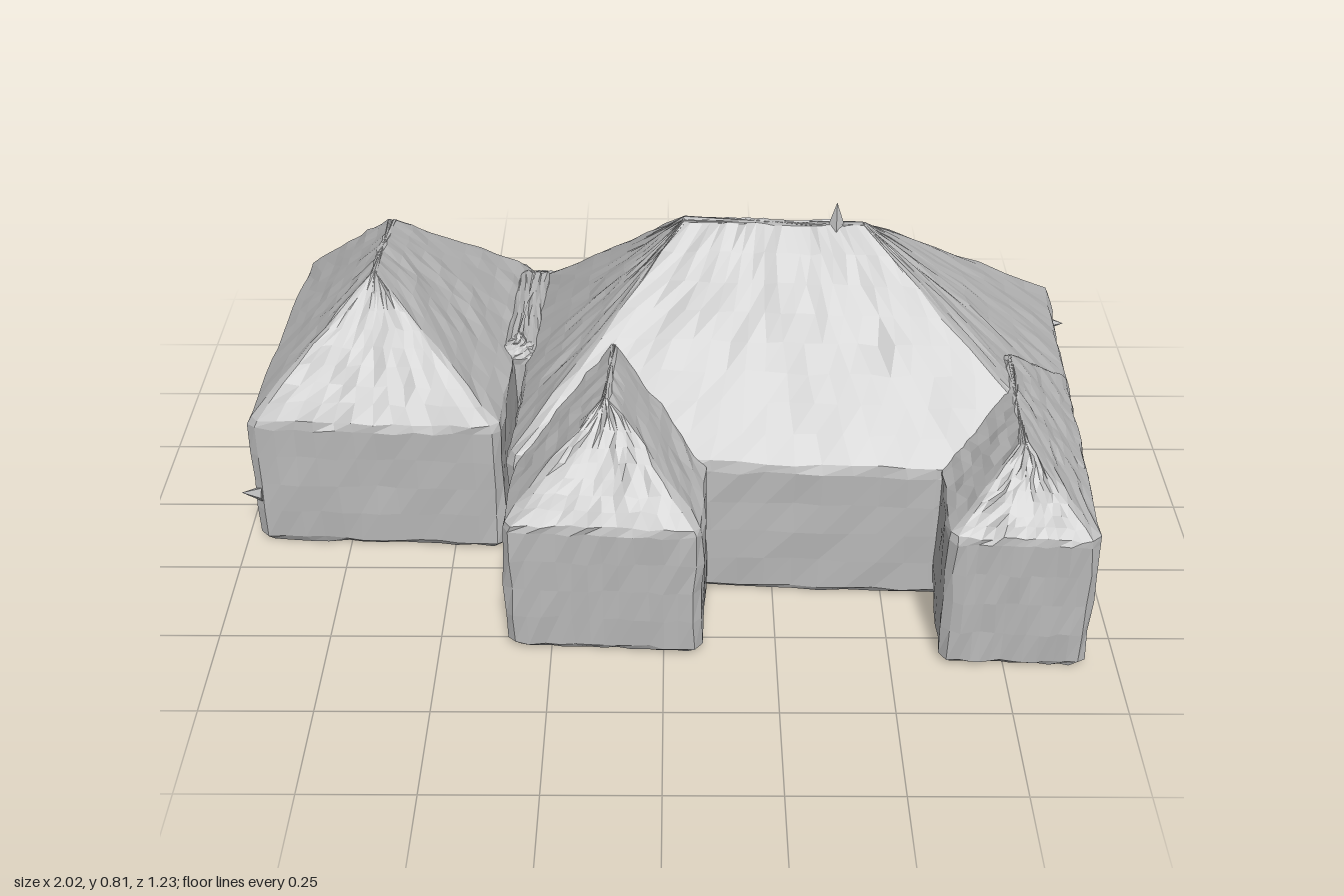
import * as THREE from 'three';

const stone = new THREE.MeshStandardMaterial({ color: 0xb8b8b8, flatShading: true });
stone.name = 'plain grey';

// Repeatable surface roughness taken from the position
function hash(x, y, z, k) {
  const s = Math.sin(x * 127.1 + y * 311.7 + z * 74.7 + k * 53.3) * 43758.5453;
  return (s - Math.floor(s) - 0.5) * 2;
}

// Outline of a rectangle with cut corners, counter-clockwise from above
function ringPoints({ x0, x1, z0, z1, y, r }, n) {
  const sides = [
    [x0 + r, z1, x1 - r, z1], [x1, z1 - r, x1, z0 + r],
    [x1 - r, z0, x0 + r, z0], [x0, z0 + r, x0, z1 - r],
  ];
  const points = [];
  for (const [ax, az, bx, bz] of sides) {
    for (let i = 0; i <= n; i++) {
      const t = i / n;
      points.push([ax + (bx - ax) * t, y, az + (bz - az) * t]);
    }
  }
  return points;
}

// Block with straight walls and a hipped roof: foot = wall rectangle, ridge = roof top
function hippedBlock(name, foot, eave, ridge, top, n = 12) {
  const [x0, x1, z0, z1] = foot;
  const [u0, u1, v0, v1] = ridge;
  const inset = (d, y) => ({ x0: x0 + d, x1: x1 - d, z0: z0 + d, z1: z1 - d, y, r: 0.018 });
  const rings = [inset(0.015, 0.014), inset(0.002, 0.03)];
  for (let i = 1; i <= 4; i++) rings.push(inset(0, 0.03 + (eave - 0.045) * i / 4));
  const roofSteps = 8;
  for (let i = 0; i <= roofSteps; i++) {
    const t = 0.02 + 0.98 * i / roofSteps;
    const mix = (a, b) => a + (b - a) * t;
    rings.push({
      x0: mix(x0, u0), x1: mix(x1, u1), z0: mix(z0, v0), z1: mix(z1, v1),
      y: mix(eave, top), r: 0.018 * (1 - t),
    });
  }

  const pos = [], index = [];
  const count = 4 * (n + 1);
  const rough = 0.004;
  rings.forEach((ring, j) => {
    for (const [x, y, z] of ringPoints(ring, n)) {
      pos.push(
        x + rough * hash(x, y, z, 1),
        y + (j ? rough : 0.003) * hash(x, y, z, 2),
        z + rough * hash(x, y, z, 3));
    }
  });
  for (let j = 0; j < rings.length - 1; j++) {
    for (let i = 0; i < count; i++) {
      const k = (i + 1) % count;
      const a = j * count + i, b = j * count + k;
      index.push(a, b, b + count, a, b + count, a + count);
    }
  }
  // Floor and ridge caps
  const floor = pos.length / 3, last = (rings.length - 1) * count;
  pos.push((x0 + x1) / 2, 0.014, (z0 + z1) / 2, (u0 + u1) / 2, top, (v0 + v1) / 2);
  for (let i = 0; i < count; i++) {
    const k = (i + 1) % count;
    index.push(floor, k, i, floor + 1, last + i, last + k);
  }
  const geometry = new THREE.BufferGeometry();
  geometry.setAttribute('position', new THREE.Float32BufferAttribute(pos, 3));
  geometry.setIndex(index);
  geometry.computeVertexNormals();
  const mesh = new THREE.Mesh(geometry, stone);
  mesh.name = name;
  return mesh;
}

// Small pointed chip standing out from a surface
function shard(name, x, y, z, radius, height, tilt = 0) {
  const mesh = new THREE.Mesh(new THREE.ConeGeometry(radius, height, 5), stone);
  mesh.position.set(x, y, z);
  mesh.rotation.z = tilt;
  mesh.name = name;
  return mesh;
}

export function createModel() {
  const model = new THREE.Group();
  model.name = 'house';
  const plan = new THREE.Group();
  plan.name = 'housePlan';
  plan.rotation.y = -0.047; // the whole plan stands slightly askew
  model.add(plan);

  plan.add(
    hippedBlock('mainHouse', [-0.34, 0.957, -0.526, 0.325], 0.36, [0.04, 0.45, -0.08, -0.055], 0.772, 20),
    hippedBlock('leftWing', [-0.325, 0.112, -0.1, 0.56], 0.35, [-0.115, -0.1, 0.05, 0.37], 0.56),
    hippedBlock('rightWing', [0.632, 0.957, -0.1, 0.565], 0.36, [0.785, 0.8, 0.05, 0.41], 0.505),
    hippedBlock('annex', [-0.96, -0.368, -0.575, 0.2], 0.355, [-0.69, -0.675, -0.3, -0.04], 0.628),
    hippedBlock('annexLink', [-0.43, -0.29, -0.54, -0.1], 0.36, [-0.365, -0.355, -0.46, -0.16], 0.4, 6),
    shard('ridgeSpike', 0.388, 0.79, -0.068, 0.025, 0.07),
    shard('annexChip', -0.968, 0.15, 0.19, 0.02, 0.05, Math.PI / 2),
    shard('eaveChip', 0.965, 0.29, -0.46, 0.025, 0.06, -Math.PI / 2),
  );
  return model;
}
